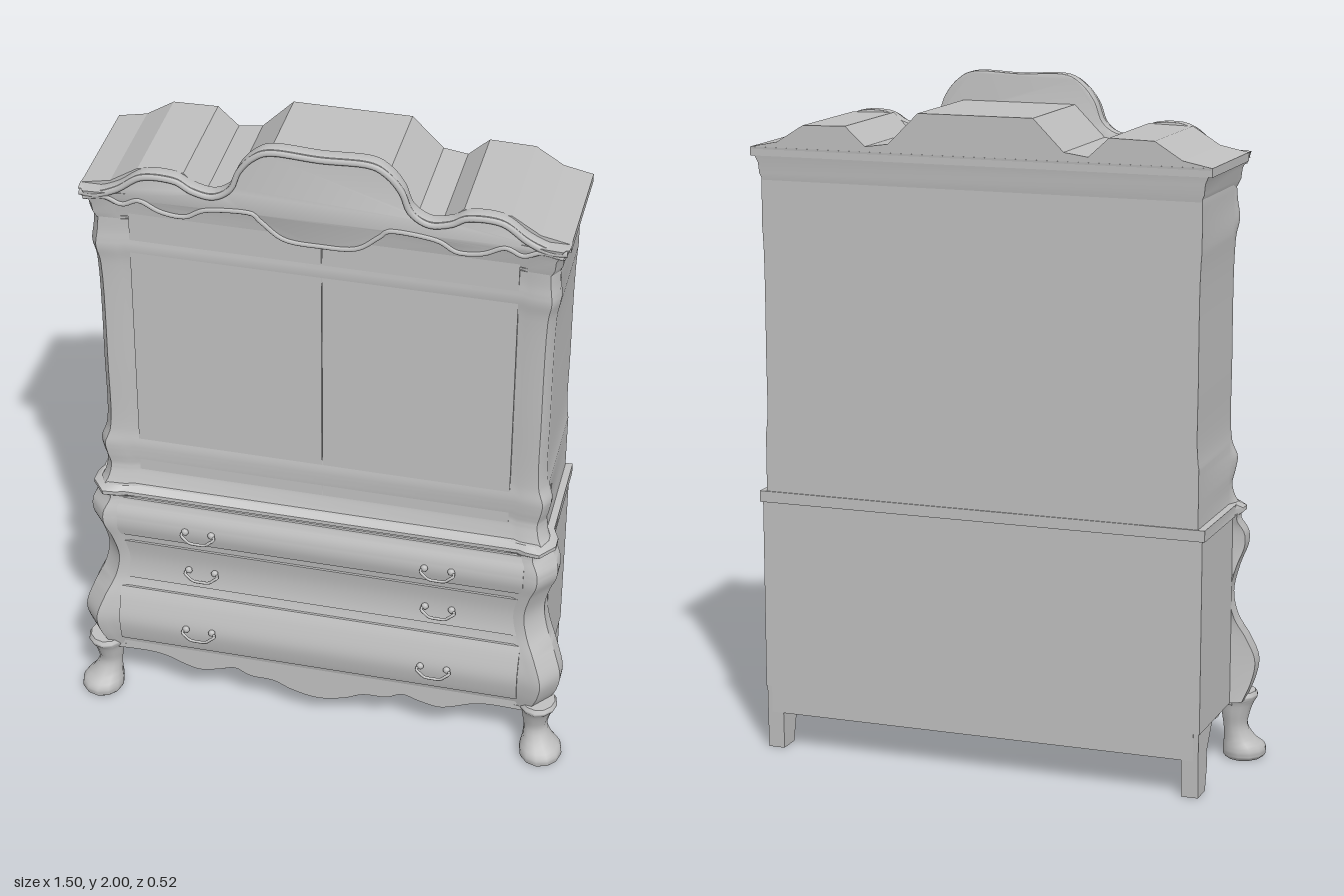
import * as THREE from 'three';
import { toCreasedNormals } from 'three/addons/utils/BufferGeometryUtils.js';

const V2 = (x, y) => new THREE.Vector2(x, y);
const V3 = (x, y, z) => new THREE.Vector3(x, y, z);

// Smooth [height, half width, front depth] profile
const smooth = (table, n) =>
  new THREE.CatmullRomCurve3(table.map(p => V3(...p)), false, 'centripetal').getPoints(n);

// Skin closed rings, listed bottom to top, and cap both ends
function loft(rings, crease = 0.6) {
  const n = rings[0].length, pos = [], idx = [];
  rings.forEach(r => r.forEach(p => pos.push(p.x, p.y, p.z)));
  for (let j = 0; j < rings.length - 1; j++) for (let i = 0; i < n; i++) {
    const a = j * n + i, b = j * n + (i + 1) % n;
    idx.push(a, b, b + n, a, b + n, a + n);
  }
  [0, rings.length - 1].forEach(j => {
    const c = rings[j].reduce((s, p) => s.add(p), V3(0, 0, 0)).divideScalar(n);
    const k = pos.length / 3;
    pos.push(c.x, c.y, c.z);
    for (let i = 0; i < n; i++) {
      const a = j * n + i, b = j * n + (i + 1) % n;
      if (j) idx.push(k, a, b); else idx.push(k, b, a);
    }
  });
  const g = new THREE.BufferGeometry();
  g.setAttribute('position', new THREE.Float32BufferAttribute(pos, 3));
  g.setIndex(idx);
  return toCreasedNormals(g, crease);
}

// Cabinet cross-section with canted corner posts
function cabinetRing(y, w, d, sideW, back, post) {
  const half = [[sideW, back], [sideW, 0.07], [w, d - 0.1 * post], [w, d - 0.05 * post],
    [w - 0.05 * post, d + 0.012], [w - 0.08, d + 0.008], [w - 0.1, d]];
  const left = half.map(([x, z]) => V3(-x, y, z));
  const right = half.map(([x, z]) => V3(x, y, z)).reverse();
  return [...left, ...right];
}

// Extrude a (z, y) section along x
function sideways(section, x0, x1) {
  const g = new THREE.ExtrudeGeometry(new THREE.Shape(section.map(([z, y]) => V2(-z, y))),
    { depth: x1 - x0, bevelEnabled: false });
  g.rotateY(Math.PI / 2).translate(x0, 0, 0);
  return toCreasedNormals(g, 0.5);
}

// Left half of an outline, from outside to centre, made whole
const mirrored = pts => [...pts.map(([x, y]) => V2(-x, y)),
  ...pts.slice(0, pts[pts.length - 1][0] === 0 ? -1 : undefined).reverse().map(([x, y]) => V2(x, y))];

export function createModel() {
  const model = new THREE.Group();
  const grey = new THREE.MeshStandardMaterial({ color: 0xbfbfbf });
  grey.name = 'plain grey';
  const add = (name, geometry, parent = model) => {
    const m = new THREE.Mesh(geometry, grey);
    m.name = name;
    parent.add(m);
    return m;
  };

  // Swelling lower chest
  const chest = smooth([[0.19, 0.7, 0.185], [0.25, 0.722, 0.205], [0.31, 0.73, 0.213], [0.38, 0.708, 0.195],
    [0.45, 0.677, 0.167], [0.52, 0.665, 0.16], [0.6, 0.68, 0.172], [0.66, 0.7, 0.186],
    [0.7, 0.7, 0.182], [0.74, 0.682, 0.165], [0.757, 0.682, 0.163]], 48);
  add('lowerChest', loft(chest.map(p => cabinetRing(p.x, p.y, p.z, 0.668, -0.24, 1))));

  // Waist moulding between the two halves
  add('waistMoulding', loft([[0.752, 0.68, 0.165], [0.76, 0.692, 0.175], [0.772, 0.692, 0.175], [0.785, 0.675, 0.155]]
    .map(([y, w, d]) => cabinetRing(y, w, d, 0.676, -0.244, 0.8))));

  // Drawer fronts following the swelling
  [['topDrawer', 0.605, 0.75], ['middleDrawer', 0.435, 0.592], ['bottomDrawer', 0.225, 0.422]].forEach(([name, y0, y1]) => {
    const face = chest.filter(p => p.x >= y0 && p.x <= y1);
    add(name, sideways([...face.map(p => [p.z + 0.007, p.x]), ...face.reverse().map(p => [p.z - 0.02, p.x])], -0.61, 0.61));
  });

  // Drop handles with rosettes
  const bail = new THREE.TubeGeometry(new THREE.CatmullRomCurve3(
    [[-0.038, 0.008, 0], [-0.05, 0, 0.01], [-0.036, -0.012, 0.016], [-0.024, -0.022, 0.016], [0, -0.024, 0.016],
      [0.024, -0.022, 0.016], [0.036, -0.012, 0.016], [0.05, 0, 0.01], [0.038, 0.008, 0]].map(p => V3(...p))), 32, 0.0045, 6);
  const rosette = new THREE.SphereGeometry(0.011, 10, 8).scale(1, 1, 0.8);
  [[0.665, 0.195], [0.5, 0.17], [0.31, 0.222]].forEach(([y, z]) => [-0.36, 0.36].forEach(x => {
    const handle = new THREE.Group();
    handle.name = 'drawerHandle';
    handle.position.set(x, y, z);
    add('bail', bail, handle);
    [-0.04, 0.04].forEach(rx => add('rosette', rosette, handle).position.set(rx, 0.006, 0.002));
    model.add(handle);
  }));

  // Tall upper cupboard, flaring into the cornice
  const cupboard = smooth([[0.775, 0.675, 0.15], [0.8, 0.662, 0.138], [0.84, 0.655, 0.126], [0.88, 0.663, 0.13],
    [0.92, 0.668, 0.132], [0.97, 0.653, 0.122], [1.2, 0.65, 0.12], [1.55, 0.654, 0.122], [1.61, 0.663, 0.13],
    [1.66, 0.658, 0.124], [1.71, 0.654, 0.122]], 56);
  add('upperCupboard', loft(cupboard.map(p => cabinetRing(p.x, p.y, p.z, Math.min(p.y, 0.655), -0.24, 0.4))));
  add('cornice', loft([[1.7, 0.655, 0.122], [1.72, 0.664, 0.128], [1.75, 0.667, 0.132], [1.775, 0.678, 0.14], [1.795, 0.686, 0.146]]
    .map(([y, w, d]) => cabinetRing(y, w, d, w - 0.004, -0.24 - (w - 0.655) * 0.35, 0.35))));

  // Pair of doors meeting at the centre
  [-1, 1].forEach(s => add('door', new THREE.BoxGeometry(0.548, 0.93, 0.012).translate(s * 0.275, 1.265, 0.122)));

  // Stepped roof behind the crest
  const roof = new THREE.Shape(mirrored([[0.684, 1.77], [0.684, 1.795], [0.6, 1.812], [0.52, 1.862], [0.39, 1.865],
    [0.33, 1.81], [0.26, 1.82], [0.17, 1.91]]));
  add('roof', new THREE.ExtrudeGeometry(roof, { depth: 0.365, bevelEnabled: false }).translate(0, 0, -0.25));

  // Scrolled crest in front of the roof
  const topEdge = new THREE.SplineCurve(mirrored([[0.68, 1.792], [0.63, 1.79], [0.57, 1.815], [0.5, 1.862], [0.41, 1.864],
    [0.36, 1.838], [0.3, 1.828], [0.25, 1.86], [0.225, 1.92], [0.185, 1.968], [0.13, 1.992], [0, 1.988]])).getPoints(110);
  const lowEdge = new THREE.SplineCurve(mirrored([[0.67, 1.765], [0.61, 1.775], [0.56, 1.757], [0.51, 1.775], [0.45, 1.748],
    [0.38, 1.742], [0.32, 1.772], [0.2, 1.782], [0.165, 1.758], [0.1, 1.71], [0, 1.703]])).getPoints(90);
  const crest = new THREE.Shape([...lowEdge, ...topEdge.slice().reverse()]);
  add('crest', toCreasedNormals(new THREE.ExtrudeGeometry(crest,
    { depth: 0.028, bevelThickness: 0.005, bevelSize: 0.004, bevelSegments: 2 }).translate(0, 0, 0.113), 0.6));
  const rim = (name, pts, r, drop) => add(name, new THREE.TubeGeometry(
    new THREE.CatmullRomCurve3(pts.map(p => V3(p.x, p.y - drop, 0.147))), 120, r, 6));
  rim('crestTopMoulding', topEdge, 0.009, 0.007);
  rim('crestLowerMoulding', lowEdge, 0.007, -0.004);

  // Scalloped front apron
  const scallops = new THREE.SplineCurve(mirrored([[0.64, 0.172], [0.53, 0.175], [0.47, 0.165], [0.42, 0.145], [0.37, 0.132],
    [0.31, 0.145], [0.26, 0.16], [0.21, 0.138], [0.14, 0.134], [0.08, 0.108], [0, 0.092]])).getPoints(80);
  const apron = new THREE.Shape([...scallops, V2(0.64, 0.23), V2(-0.64, 0.23)]);
  add('frontApron', toCreasedNormals(new THREE.ExtrudeGeometry(apron,
    { depth: 0.02, bevelThickness: 0.004, bevelSize: 0.003, bevelSegments: 1 }).translate(0, 0, 0.166), 0.5));

  // Lower back board
  add('backBoard', new THREE.BoxGeometry(1.3, 0.1, 0.02).translate(0, 0.16, -0.23));

  // Side skirts running into bracket back legs, and front cabriole legs
  const skirt = [[0.11, 0.22], [0.11, 0.17], [0.07, 0.185], [0.03, 0.195], [-0.04, 0.182], [-0.1, 0.188], [-0.12, 0.16],
    [-0.155, 0.11], [-0.145, 0.08], [-0.165, 0], [-0.235, 0], [-0.24, 0.22]];
  const legRings = smooth([[0, 0.685, 0.055], [0.012, 0.686, 0.064], [0.035, 0.684, 0.062], [0.06, 0.674, 0.047],
    [0.1, 0.664, 0.036], [0.14, 0.664, 0.042], [0.175, 0.668, 0.05], [0.19, 0.67, 0.057], [0.205, 0.67, 0.05]], 24);
  [-1, 1].forEach(s => {
    add('sideSkirtAndBackLeg', sideways(skirt, s > 0 ? 0.615 : -0.665, s > 0 ? 0.665 : -0.615));
    add('frontLeg', loft(legRings.map(p => Array.from({ length: 12 }, (_, i) => {
      const a = i / 12 * Math.PI * 2;
      return V3(s * p.y + Math.sin(a) * p.z, p.x, p.y - 0.508 + Math.cos(a) * p.z * 1.1);
    })), 1));
  });

  // Slight twist of the whole cabinet
  model.rotation.y = 0.013;
  return model;
}
